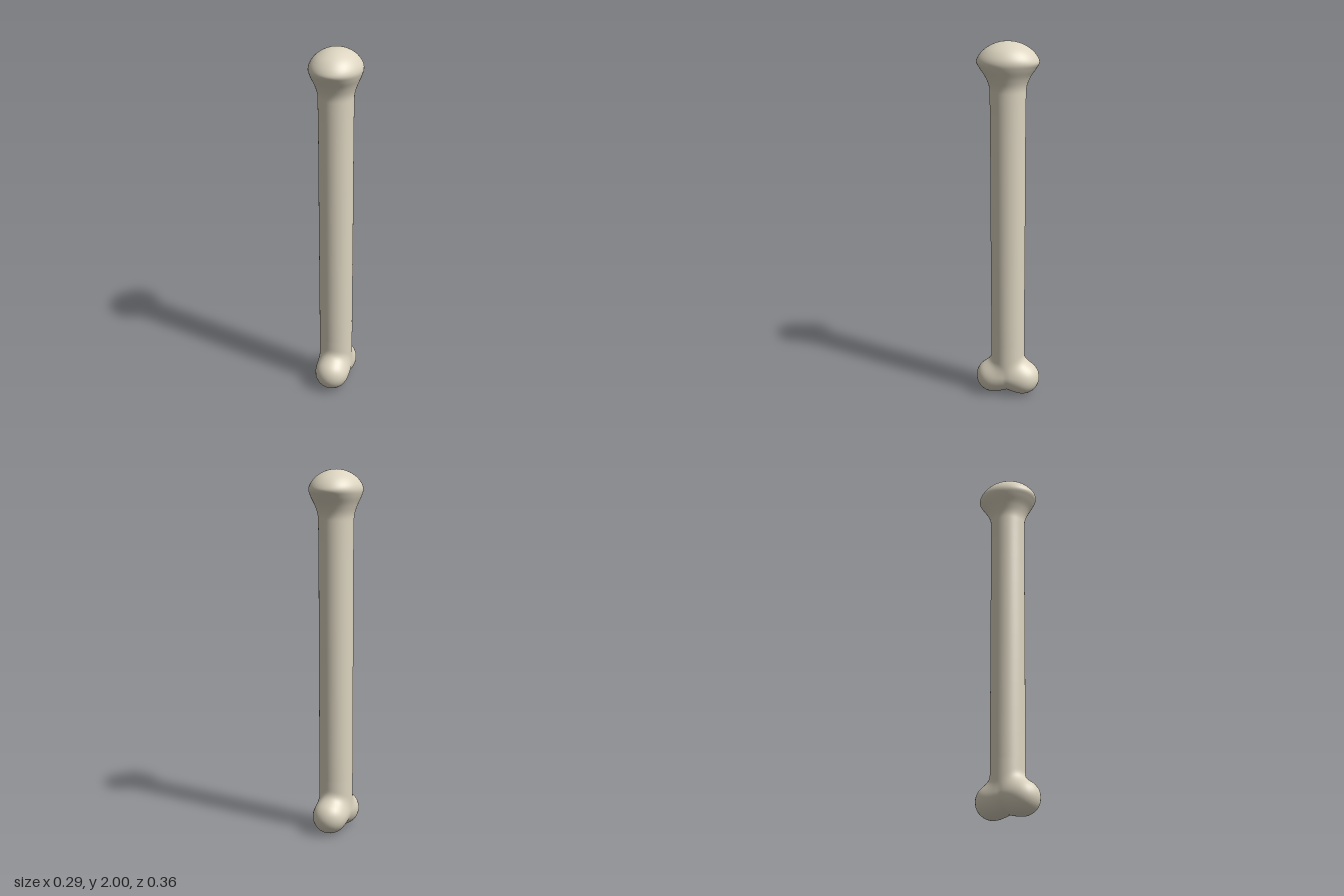
import * as THREE from 'three';
import { mergeVertices } from 'three/addons/utils/BufferGeometryUtils.js';

const SIDES = 48;

// Blended distance to the lower shaft and its two round knuckles
const smoothMin = (a, b, k = 0.05) =>
  Math.min(a, b) - Math.max(k - Math.abs(a - b), 0) ** 2 / (4 * k);

function lowerEnd(x, y, z) {
  const shaft = Math.hypot(x, Math.min(y - 0.12, 0), z) - 0.093;
  const knuckle = Math.hypot(x, y - 0.096, Math.abs(z) - 0.085) - 0.095;
  return smoothMin(shaft, knuckle);
}

// Distance from the bone's axis to the surface along a direction
function reach(y, dx, dy, dz) {
  let near = 0, far = 0.3;
  for (let i = 0; i < 24; i++) {
    const t = (near + far) / 2;
    if (lowerEnd(dx * t, y + dy * t, dz * t) < 0) near = t;
    else far = t;
  }
  return near;
}

function boneGeometry() {
  const rows = [];
  const ring = (f) => rows.push(Array.from({ length: SIDES }, (_, i) => {
    const a = (i / SIDES) * Math.PI * 2;
    return f(Math.cos(a), Math.sin(a));
  }));

  // Rounded underside, fanning up from the bottom pole
  for (let i = 0; i < 24; i++) {
    const tilt = (1 - i / 24) * Math.PI / 2;
    const h = i === 0 ? 0 : Math.cos(tilt), dy = -Math.sin(tilt);
    ring((c, s) => {
      const t = reach(0.12, c * h, dy, s * h);
      return [c * h * t, 0.12 + dy * t, s * h * t];
    });
  }
  // Tops of the knuckles blending into the shaft
  for (let i = 0; i < 18; i++) {
    const y = 0.12 + i * 0.01;
    ring((c, s) => {
      const t = reach(y, c, 0, s);
      return [c * t, y, s * t];
    });
  }
  // Shaft and oval head: half width, height, half depth
  const profile = new THREE.CatmullRomCurve3([
    [0.093, 0.3, 0.093], [0.094, 1, 0.095], [0.096, 1.7, 0.097],
    [0.099, 1.76, 0.1], [0.115, 1.81, 0.119], [0.136, 1.86, 0.152],
    [0.143, 1.89, 0.168], [0.138, 1.916, 0.16], [0.113, 1.953, 0.129],
    [0.073, 1.982, 0.083], [0.035, 1.996, 0.04], [0, 2, 0],
  ].map((p) => new THREE.Vector3(...p)));
  const steps = 55;
  for (let i = 0; i <= steps; i++) {
    const p = profile.getPoint(i / steps);
    ring((c, s) => (i === steps ? [0, 2, 0] : [c * p.x, p.y, s * p.z]));
  }

  // Skin the rings
  const index = [];
  for (let r = 0; r < rows.length - 1; r++) {
    for (let i = 0; i < SIDES; i++) {
      const a = r * SIDES + i, b = r * SIDES + (i + 1) % SIDES;
      if (r < rows.length - 2) index.push(a, a + SIDES, b + SIDES);
      if (r > 0) index.push(a, b + SIDES, b);
      if (r === rows.length - 2) index.push(a, a + SIDES, b + SIDES);
    }
  }
  const geometry = new THREE.BufferGeometry();
  geometry.setAttribute('position', new THREE.Float32BufferAttribute(rows.flat(2), 3));
  geometry.setIndex(index);
  const welded = mergeVertices(geometry, 1e-5);
  welded.computeVertexNormals();
  return welded;
}

export function createModel() {
  const ivory = new THREE.MeshStandardMaterial({ color: 0xdcd4c0 });
  ivory.name = 'ivory';
  const bone = new THREE.Mesh(boneGeometry(), ivory);
  bone.name = 'bone';
  const model = new THREE.Group();
  model.name = 'longBone';
  model.add(bone);
  return model;
}
